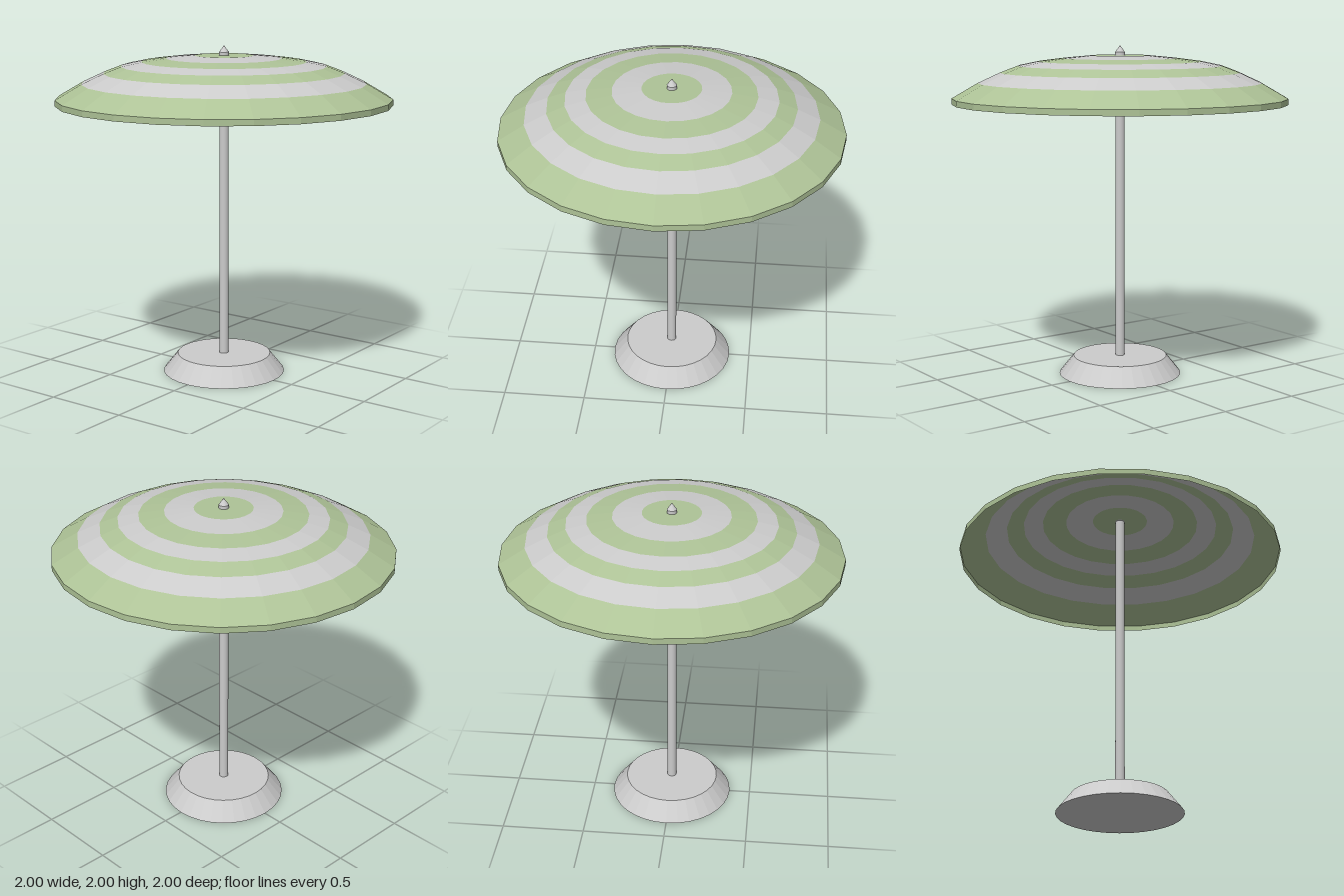
import * as THREE from 'three';

const SIDES = 24;

function material(color, options = {}) {
  return new THREE.MeshStandardMaterial({ color, flatShading: true, ...options });
}

export function createModel() {
  const model = new THREE.Group();
  model.name = 'parasol';
  const grey = material(0xcccccc);
  const smoothGrey = material(0xcccccc, { flatShading: false });
  const greyCloth = material(0xcccccc, { side: THREE.DoubleSide });
  const greenCloth = material(0xaec397, { side: THREE.DoubleSide });

  const add = (parent, name, geometry, mat, y = 0) => {
    const mesh = new THREE.Mesh(geometry, mat);
    mesh.name = name;
    mesh.position.y = y;
    parent.add(mesh);
  };

  // Weighted foot and pole
  add(model, 'base', new THREE.CylinderGeometry(0.285, 0.372, 0.11, 32), grey, 0.055);
  add(model, 'pole', new THREE.CylinderGeometry(0.028, 0.028, 1.83, 24), smoothGrey, 1.02);

  // Canopy: concentric striped bands, listed from the rim to the centre as [radius, height]
  const canopy = new THREE.Group();
  canopy.name = 'canopy';
  model.add(canopy);
  const rings = [[1, 1.69], [0.845, 1.78], [0.715, 1.84], [0.61, 1.88],
    [0.49, 1.905], [0.342, 1.924], [0.172, 1.94], [0, 1.94]];
  const lathe = (points) =>
    new THREE.LatheGeometry(points.map(([r, y]) => new THREE.Vector2(r, y)), SIDES);
  add(canopy, 'rimSkirt', lathe([[1, 1.655], rings[0]]), greenCloth);
  for (let i = 0; i < rings.length - 1; i++) {
    const green = i % 2 === 0;
    add(canopy, `${green ? 'green' : 'grey'}Band${i + 1}`, lathe([rings[i], rings[i + 1]]),
      green ? greenCloth : greyCloth);
  }

  // Finial: short collar with a pointed tip
  const finial = new THREE.Group();
  finial.name = 'finial';
  model.add(finial);
  add(finial, 'finialCollar', new THREE.CylinderGeometry(0.029, 0.029, 0.02, 16), smoothGrey, 1.95);
  add(finial, 'finialTip', new THREE.ConeGeometry(0.029, 0.04, 16), smoothGrey, 1.98);

  return model;
}
